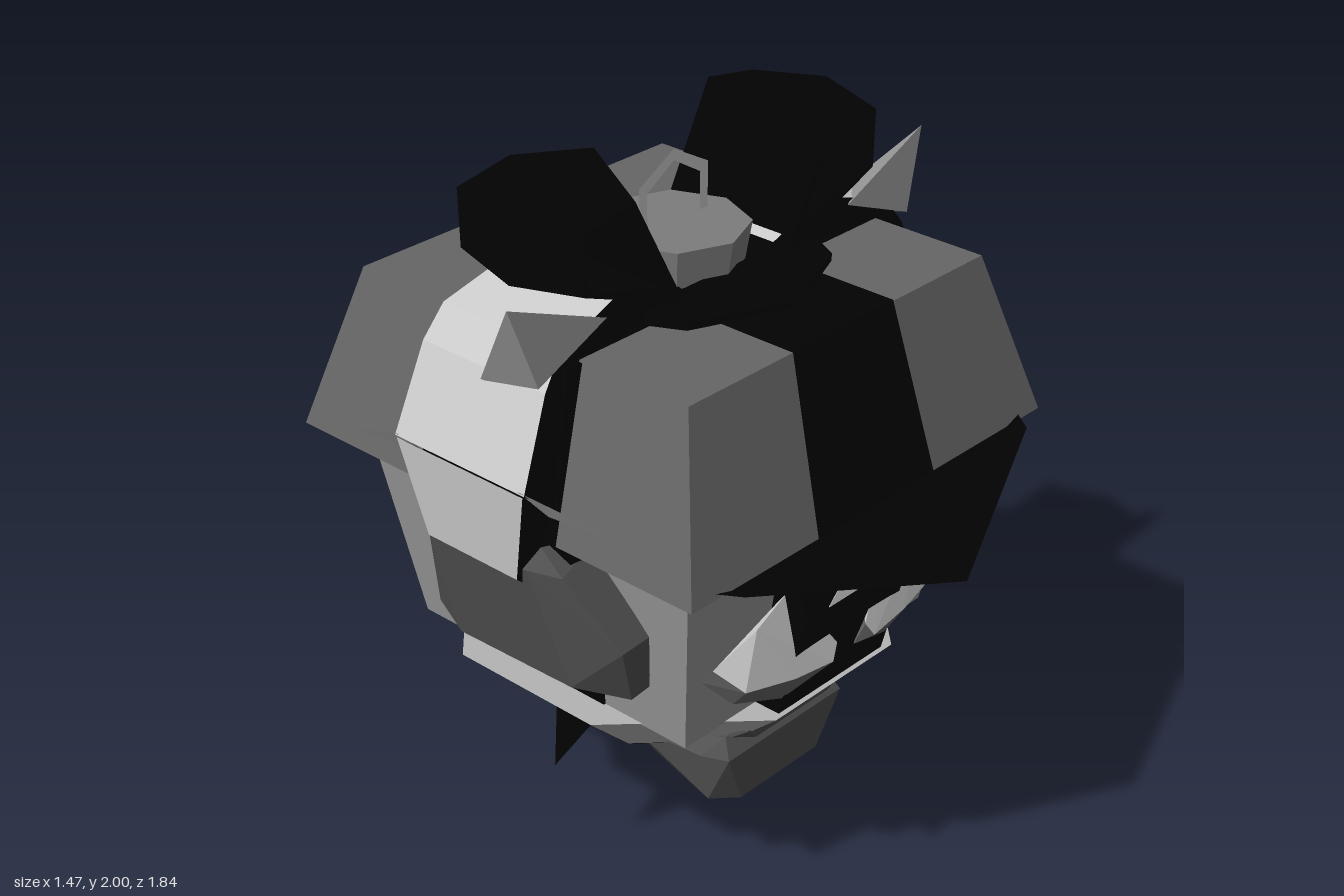
import * as THREE from 'three';
import { ConvexGeometry } from 'three/addons/geometries/ConvexGeometry.js';

const LIGHT = 0xcccccc, PALE = 0x989898, MID = 0x666666, DARK = 0x505050, BLACK = 0x020202;

function add(parent, name, geometry, color, side = THREE.FrontSide) {
  const mesh = new THREE.Mesh(geometry, new THREE.MeshStandardMaterial({ color, side, flatShading: true }));
  mesh.name = name;
  parent.add(mesh);
  return mesh;
}

// Convex solid around a handful of corner points
const hull = (parent, name, color, pts) =>
  add(parent, name, new ConvexGeometry(pts.map(p => new THREE.Vector3(...p))), color);

// Surface from a list of triangles
function sheet(tris) {
  const g = new THREE.BufferGeometry();
  g.setAttribute('position', new THREE.Float32BufferAttribute(tris.flat(2), 3));
  g.computeVertexNormals();
  return g;
}

// Thin plate with a different colour on each face
function twoFaced(parent, name, tris, color, backColor, gap) {
  add(parent, name, sheet(tris), color);
  add(parent, name + 'Reverse', sheet(tris.map(t => [...t].reverse())).translate(...gap), backColor);
}

// Skin between consecutive sections; closed in both directions or only along one
function skin(sections, loop, wrap) {
  const tris = [], n = sections.length, m = sections[0].length;
  for (let i = 0; i < (loop ? n : n - 1); i++)
    for (let j = 0; j < (wrap ? m : m - 1); j++) {
      const a = sections[i][j], b = sections[(i + 1) % n][j];
      const c = sections[(i + 1) % n][(j + 1) % m], d = sections[i][(j + 1) % m];
      tris.push([a, b, c], [a, c, d]);
    }
  return sheet(tris);
}

// Block between two horizontal rectangles: [x0, x1, z0, z1] at y0 and y1
function taper(parent, name, color, y0, r0, y1, r1) {
  const corners = (y, [x0, x1, z0, z1]) => [[x0, y, z0], [x1, y, z0], [x1, y, z1], [x0, y, z1]];
  return hull(parent, name, color, [...corners(y0, r0), ...corners(y1, r1)]);
}

// Copy of a group reflected in x, with the winding kept outward
function mirrored(group) {
  const copy = group.clone();
  copy.children.forEach(mesh => {
    const p = mesh.geometry.attributes.position, tris = [];
    const corner = i => [-p.getX(i), p.getY(i), p.getZ(i)];
    for (let i = 0; i < p.count; i += 3) tris.push([corner(i), corner(i + 2), corner(i + 1)]);
    mesh.geometry = sheet(tris);
  });
  return copy;
}

// Everything that exists once on the +x side
function buildSide(g) {
  for (const s of [1, -1]) {
    const zs = (a, b) => (s > 0 ? [a, b] : [-b, -a]);
    // Helmet corner block and face column
    taper(g, 'helmetBlock', MID, 1.2, [0.21, 0.65, ...zs(0.21, 0.65)], 1.625, [0.175, 0.53, ...zs(0.2, 0.53)]);
    taper(g, 'headColumn', PALE, 0.64, [0.18, 0.455, ...zs(0.18, 0.455)], 1.22, [0.2, 0.545, ...zs(0.26, 0.545)]);
    // Pointed fin beside the side strap, pale outside and black above
    const a = [0.735, 1.37, 0.2 * s], b = [0.66, 1.28, 0.22 * s], t = [0.64, s > 0 ? 1.29 : 1.25, 0.46 * s];
    twoFaced(g, 'sideFin', [s > 0 ? [a, t, b] : [a, b, t]], LIGHT, BLACK, [-0.004, 0.004, 0]);
  }

  // Strap over the helmet and down the side, [x, y, half width], with black edges
  const strap = (name, rows) => {
    const edge = s => rows.map(([x, y, w]) => [[x, y, w * s], [x - 0.12, y - 0.1, w * s]]);
    add(g, name, skin(rows.map(([x, y, w]) => [[x, y, w], [x, y, -w]]), false, false), LIGHT, THREE.DoubleSide);
    for (const s of [1, -1]) add(g, name + 'Edge', skin(edge(s), false, false), BLACK, THREE.DoubleSide);
  };
  strap('upperStrap', [[0.17, 1.67, 0.17], [0.35, 1.73, 0.17], [0.58, 1.66, 0.19], [0.64, 1.58, 0.2], [0.73, 1.36, 0.215]]);
  strap('lowerStrap', [[0.73, 1.355, 0.21], [0.7, 1.1, 0.15]]);

  // Black filling under the strap and the side of the head
  taper(g, 'helmetSideBand', BLACK, 1.2, [0.1, 0.65, -0.23, 0.23], 1.62, [0.1, 0.58, -0.21, 0.21]);
  taper(g, 'headSideBand', BLACK, 0.64, [0.1, 0.46, -0.19, 0.19], 1.22, [0.1, 0.64, -0.25, 0.25]);

  // Ear pad, its lower edge tucked in towards the head: [x, y, z]
  hull(g, 'earPad', DARK, [
    [0.6, 0.95, 0.39], [0.66, 1.13, 0.26], [0.69, 1.13, 0.17], [0.69, 1.1, -0.16], [0.65, 1.18, 0.18], [0.65, 1.16, -0.17],
    [0.64, 0.87, -0.19], [0.63, 0.81, 0.25], [0.63, 0.8, -0.13], [0.54, 0.78, 0.36],
    [0.5, 0.755, -0.15], [0.49, 0.73, 0.07], [0.45, 0.79, 0.36], [0.45, 0.95, 0.38], [0.45, 1.16, 0.2], [0.45, 1.16, -0.18]]);

  // Hollow bow loop, peaked along z = 0
  const outer = [[0.18, 1.64], [0.27, 2.0], [0.565, 1.94], [0.55, 1.75]];
  const hole = [[0.25, 1.705], [0.35, 1.945], [0.51, 1.92], [0.5, 1.775]];
  const inset = [0, 0.93, 0.93, 0.8];
  const sections = outer.map(([x, y], i) => {
    const [hx, hy] = hole[i], k = inset[i];
    const ex = x + (hx - x) * k, ey = y + (hy - y) * k;
    return [[hx, hy, 0.2], [hx, hy, -0.2], [ex, ey, -0.2], [x, y, 0], [ex, ey, 0.2]];
  });
  add(g, 'bowLoop', skin(sections, true, true), BLACK, THREE.DoubleSide);

  // Horn
  hull(g, 'horn', PALE, [[0.73, 1.81, 0.18], [0.65, 1.55, 0], [0.66, 1.6, 0.2], [0.43, 1.69, 0.19], [0.6, 1.68, 0.08]]);

  // Eye: pale upper lid and darker lower lid meeting at a ridge
  const ridge = [[0.42, 0.87, 0.51], [0.37, 0.81, 0.57], [0.21, 0.78, 0.59], [0.08, 0.77, 0.6], [0.055, 0.81, 0.59]];
  hull(g, 'upperEyelid', LIGHT, [...ridge, [0.31, 0.95, 0.55], [0.18, 1.0, 0.54], [0.2, 0.85, 0.44]]);
  hull(g, 'lowerEyelid', MID, [...ridge, [0.43, 0.83, 0.48], [0.37, 0.76, 0.53], [0.2, 0.695, 0.54], [0.05, 0.74, 0.56], [0.2, 0.82, 0.44]]);

  // Spike at the jaw corner
  hull(g, 'jawSpike', BLACK, [[0.45, 0.36, 0], [0.4, 0.52, 0], [0.38, 0.48, 0.06], [0.38, 0.48, -0.06], [0.31, 0.42, 0]]);

  // Front visor and rear neck guard, black above and grey below
  const brim = (name, front, I, C, T, M) => twoFaced(g, name,
    front ? [[I, T, C], [I, M, T]] : [[I, C, T], [I, T, M]], BLACK, PALE, [0, -0.004, 0]);
  brim('visor', true, [0.6, 1.215, 0.6], [0.53, 1.21, 0.7], [0, 1.1, 0.92], [0, 1.13, 0.56]);
  brim('neckGuard', false, [0.6, 1.195, -0.55], [0.52, 1.12, -0.73], [0, 0.94, -0.915], [0, 1.05, -0.57]);
}

export function createModel() {
  const model = new THREE.Group();
  model.name = 'helmetedHead';

  const left = new THREE.Group();
  buildSide(left);
  const right = mirrored(left);
  left.name = 'leftSide';
  right.name = 'rightSide';
  model.add(left, right);

  // Black band over the helmet from front to back, and the raised front plate
  taper(model, 'helmetBand', BLACK, 1.2, [-0.215, 0.215, -0.652, 0.652], 1.63, [-0.18, 0.18, -0.532, 0.532]);
  const plate = [[0.28, 0.15], [0.3, 0.2], [0.26, 0.28], [0, 0.39]];
  hull(model, 'helmetPlate', BLACK, plate.flatMap(([x, z]) =>
    [[x, 1.61, z], [-x, 1.61, z], [x, 1.645, z], [-x, 1.645, z]]));

  // Dark core of the head with bulging panels front and back
  taper(model, 'headCore', BLACK, 0.64, [-0.36, 0.36, -0.36, 0.36], 1.22, [-0.5, 0.5, -0.5, 0.5]);
  for (const s of [1, -1]) {
    hull(model, 'centrePanel', BLACK, [-0.2, 0.2].flatMap(x =>
      [[x, 0.64, 0.53 * s], [x, 0.95, 0.61 * s], [x, 0.64, 0.3 * s], [x, 0.95, 0.3 * s], [x, 1.2, 0.4 * s], [x, 1.2, 0.55 * s]]));
    hull(model, 'panelWedge', LIGHT, [[-0.12, 0.95, 0.612 * s], [0.12, 0.95, 0.612 * s], [0, 1.03, 0.594 * s], [0, 0.97, 0.5 * s]]);
  }

  // Jaw bowl with a dark, shallow pointed underside
  const jaw = add(model, 'jawBowl', new THREE.CylinderGeometry(0.59, 0.34, 0.225, 8), 0xb4b4b4);
  jaw.position.y = 0.5325;
  jaw.rotation.y = Math.PI / 8;
  const under = add(model, 'jawUnderside', new THREE.CylinderGeometry(0.34, 0.06, 0.07, 8), BLACK);
  under.position.y = 0.384;
  under.rotation.y = Math.PI / 8;

  // Chin and upper lip
  hull(model, 'chin', DARK, [-1, 1].flatMap(s => [
    [0.25 * s, 0.44, 0.32], [0.2 * s, 0.49, 0.36], [0.22 * s, 0.44, 0.39], [0.23 * s, 0.3, 0.33], [0.15 * s, 0.28, 0.37],
    [0.25 * s, 0.42, 0.08], [0.18 * s, 0.31, 0.1], [0.15 * s, 0.28, 0.3]]));
  hull(model, 'upperLip', DARK, [-1, 1].flatMap(s => [
    [0.2 * s, 0.54, 0.43], [0.14 * s, 0.485, 0.41], [0.2 * s, 0.5, 0.38], [0.2 * s, 0.55, 0.3], [0.14 * s, 0.48, 0.3]]));

  // Round cap with a flat hanging loop
  const cap = add(model, 'topCap', new THREE.CylinderGeometry(0.19, 0.17, 0.12, 8), 0x7c7c7c);
  cap.position.y = 1.67;
  const loop = [[-0.11, 1.72], [-0.11, 1.842], [0, 1.905], [0.11, 1.842], [0.11, 1.72]];
  add(model, 'hangingLoop', skin(loop.map(([x, y]) => [
    [x * 1.1, 1.72 + (y - 1.72) * 1.06, 0], [x * 0.85, 1.72 + (y - 1.72) * 0.9, 0]]), false, false), LIGHT, THREE.DoubleSide);

  // Off-centre diamond post with a black lower end
  const post = (name, color, y0, y1) => hull(model, name, color, [y0, y1].flatMap(y =>
    [[0.17, y, 0], [0.315, y, 0], [0.243, y, 0.085], [0.243, y, -0.085]]));
  post('postTop', LIGHT, 0.295, 0.48);
  post('postEnd', BLACK, 0, 0.295);

  // Bent black spike hanging below the jaw
  const spike = [[-0.02, 0.42, 0.06], [0.03, 0.25, 0.045], [0.14, 0.045, 0.001]].map(([x, y, r]) =>
    [0, 1, 2, 3, 4].map(i => [x + r * Math.cos(i * 1.2566), y, r * Math.sin(i * 1.2566)]));
  add(model, 'lowerSpike', skin(spike, false, true), BLACK, THREE.DoubleSide);

  return model;
}
